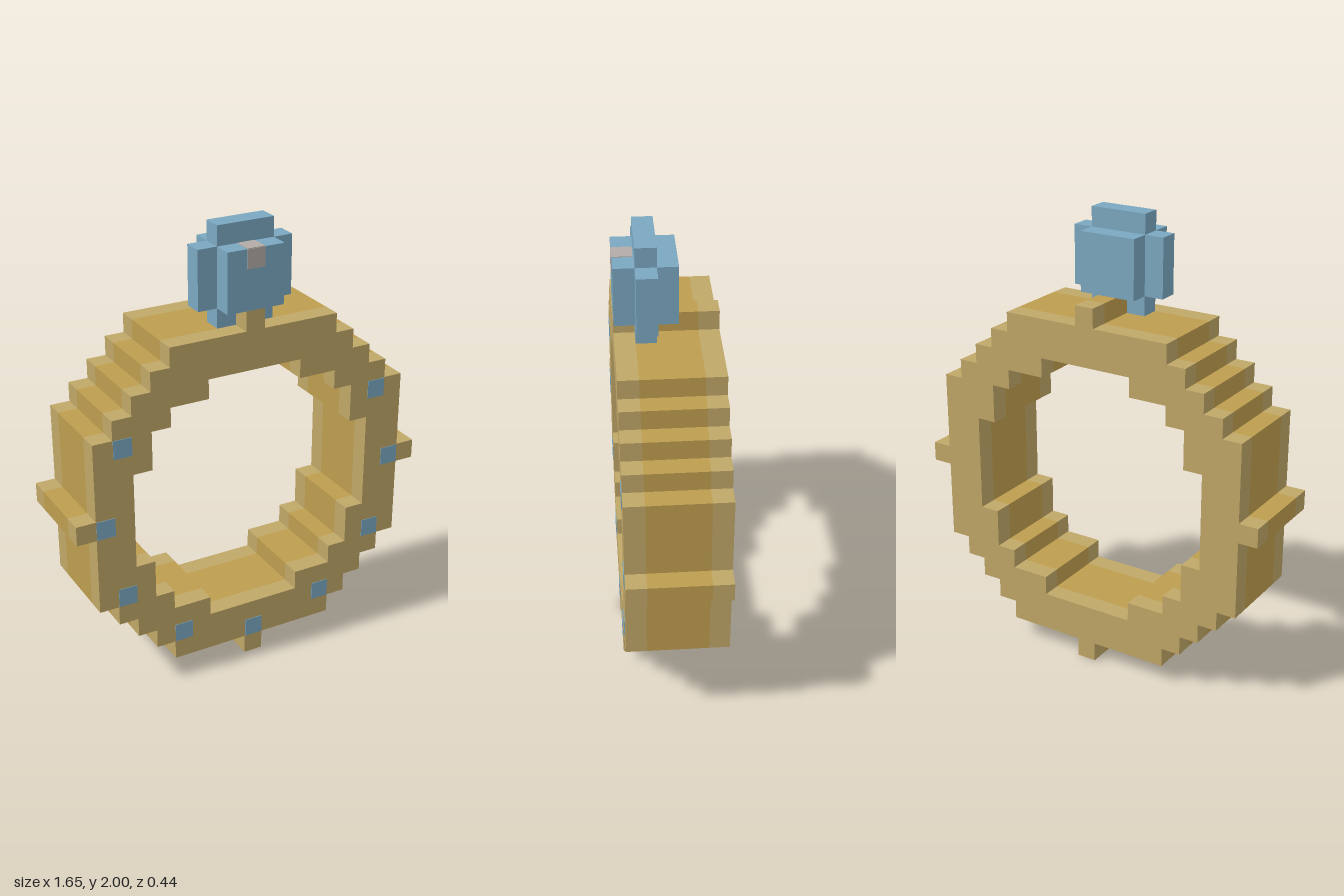
import * as THREE from 'three';

const U = 2 / 23; // one block

const mat = (name, color) => {
  const m = new THREE.MeshStandardMaterial({ color });
  m.name = name;
  return m;
};

// Mirrors a stepped quarter outline into a closed one (block units)
function mirrored(quarter) {
  const back = [...quarter].reverse();
  return [
    ...quarter,
    ...back.map(([x, y]) => [-x, y]),
    ...quarter.map(([x, y]) => [-x, -y]),
    ...back.map(([x, y]) => [x, -y]),
  ].map(([x, y]) => new THREE.Vector2(x * U, y * U));
}

export function createModel() {
  const root = new THREE.Group();
  root.name = 'blockRing';

  const paleGold = mat('paleGold', 0xc0a768);
  const gold = mat('gold', 0xbe9d4f);
  const gemBlue = mat('gemBlue', 0x7ba8c1);
  const glint = mat('glint', 0xb2aba6);

  const add = (parent, name, geometry, material, x, y, z) => {
    const mesh = new THREE.Mesh(geometry, material);
    mesh.name = name;
    mesh.position.set(x * U, y * U, z * U);
    parent.add(mesh);
  };
  const box = (w, h, d) => new THREE.BoxGeometry(w * U, h * U, d * U);

  // Band: stepped ring with a pale layer at the front and back
  const band = new THREE.Group();
  band.name = 'band';
  root.add(band);
  const shape = new THREE.Shape(mirrored([
    [8.5, 4.5], [7.5, 4.5], [7.5, 5.5], [6.5, 5.5], [6.5, 6.5],
    [5.5, 6.5], [5.5, 7.5], [4.5, 7.5], [4.5, 8.5],
  ]));
  shape.holes.push(new THREE.Path(mirrored([
    [6.5, 2.5], [5.5, 2.5], [5.5, 4.5], [4.5, 4.5], [4.5, 5.5], [2.5, 5.5], [2.5, 6.5],
  ])));
  const layers = [
    ['back', -2.5, 1, paleGold],
    ['middle', -1.5, 3, gold],
    ['front', 1.5, 1, paleGold],
  ];
  for (const [name, z, depth, material] of layers) {
    const ring = new THREE.ExtrudeGeometry(shape, { depth: depth * U, bevelEnabled: false });
    add(band, name + 'Ring', ring, material, 0, 9.5, z);
    // Four ridges around the outside
    for (const [x, y] of [[9, 9.5], [-9, 9.5], [0, 0.5], [0, 18.5]]) {
      add(band, name + 'Ridge', box(1, 1, depth), material, x, y, z + depth / 2);
    }
  }

  // Small stones set into the front face
  const stones = [[0, 1.5]];
  for (const s of [-1, 1]) stones.push([4 * s, 2.5], [7 * s, 5.5], [8 * s, 9.5], [7 * s, 13.5]);
  for (const [x, y] of stones) add(root, 'smallStone', box(0.96, 0.96, 0.04), gemBlue, x, y, 2.51);

  // Gem: three crossed blocks
  const gem = new THREE.Group();
  gem.name = 'gem';
  root.add(gem);
  add(gem, 'gemCore', box(3, 3, 3), gemBlue, 0, 20.5, 1);
  add(gem, 'gemWide', box(5, 3, 1), gemBlue, 0, 20.5, 1);
  add(gem, 'gemTall', box(3, 5, 1), gemBlue, 0, 20.5, 1);

  // Glint on the upper front edge
  add(gem, 'glintFront', box(0.92, 0.96, 0.04), glint, 0, 21.52, 2.51);
  add(gem, 'glintTop', box(0.92, 0.04, 0.96), glint, 0, 22.01, 2.02);

  return root;
}
